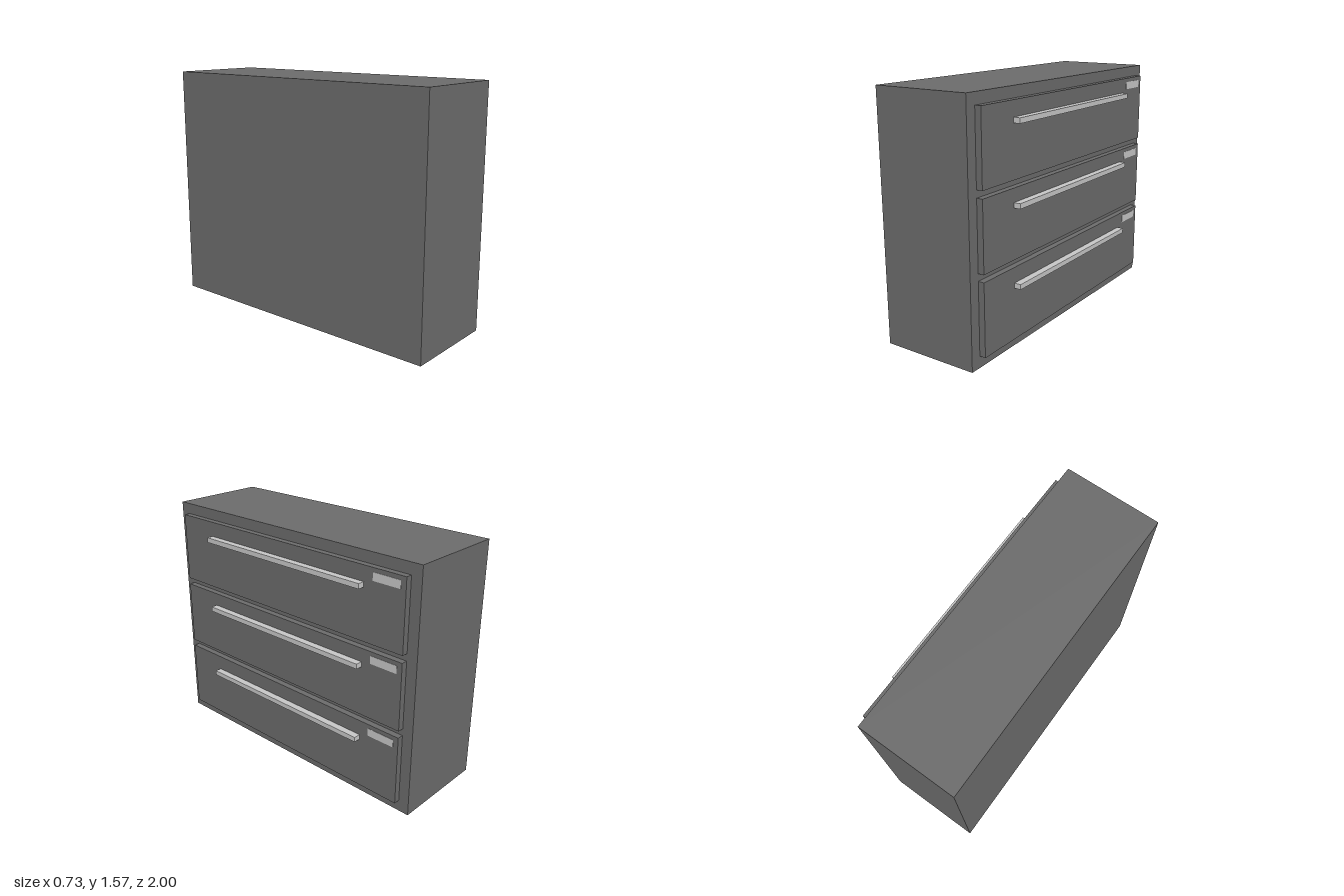
import * as THREE from 'three';

const darkGrey = new THREE.MeshStandardMaterial({ color: 0x6b6b6b, name: 'darkGrey' });
const lightGrey = new THREE.MeshStandardMaterial({ color: 0xc6c6c6, name: 'lightGrey' });

// Box given by its min and max on each axis
function block(name, material, [x0, x1], [y0, y1], [z0, z1]) {
  const mesh = new THREE.Mesh(new THREE.BoxGeometry(x1 - x0, y1 - y0, z1 - z0), material);
  mesh.position.set((x0 + x1) / 2, (y0 + y1) / 2, (z0 + z1) / 2);
  mesh.name = name;
  return mesh;
}

export function createModel() {
  const model = new THREE.Group();
  model.name = 'drawerCabinet';

  // Cabinet body
  model.add(block('cabinetBody', darkGrey, [-0.364, 0.28], [0, 1.572], [-1, 1]));

  // Drawers open towards +x: bottom, top and handle height of each
  const drawers = [
    ['lowerDrawer', 0.073, 0.528, 0.415],
    ['middleDrawer', 0.573, 1.004, 0.903],
    ['upperDrawer', 1.049, 1.502, 1.39],
  ];
  for (const [name, bottom, top, handleY] of drawers) {
    const drawer = new THREE.Group();
    drawer.name = name;
    drawer.add(
      block('drawerFront', darkGrey, [0.28, 0.32], [bottom, top], [-0.93, 0.93]),
      block('handle', lightGrey, [0.32, 0.364], [handleY - 0.016, handleY + 0.016], [-0.645, 0.645]),
      // Thin label plate in the upper corner
      block('labelPlate', lightGrey, [0.319, 0.322], [top - 0.076, top - 0.026], [-0.895, -0.708]),
    );
    model.add(drawer);
  }
  return model;
}
